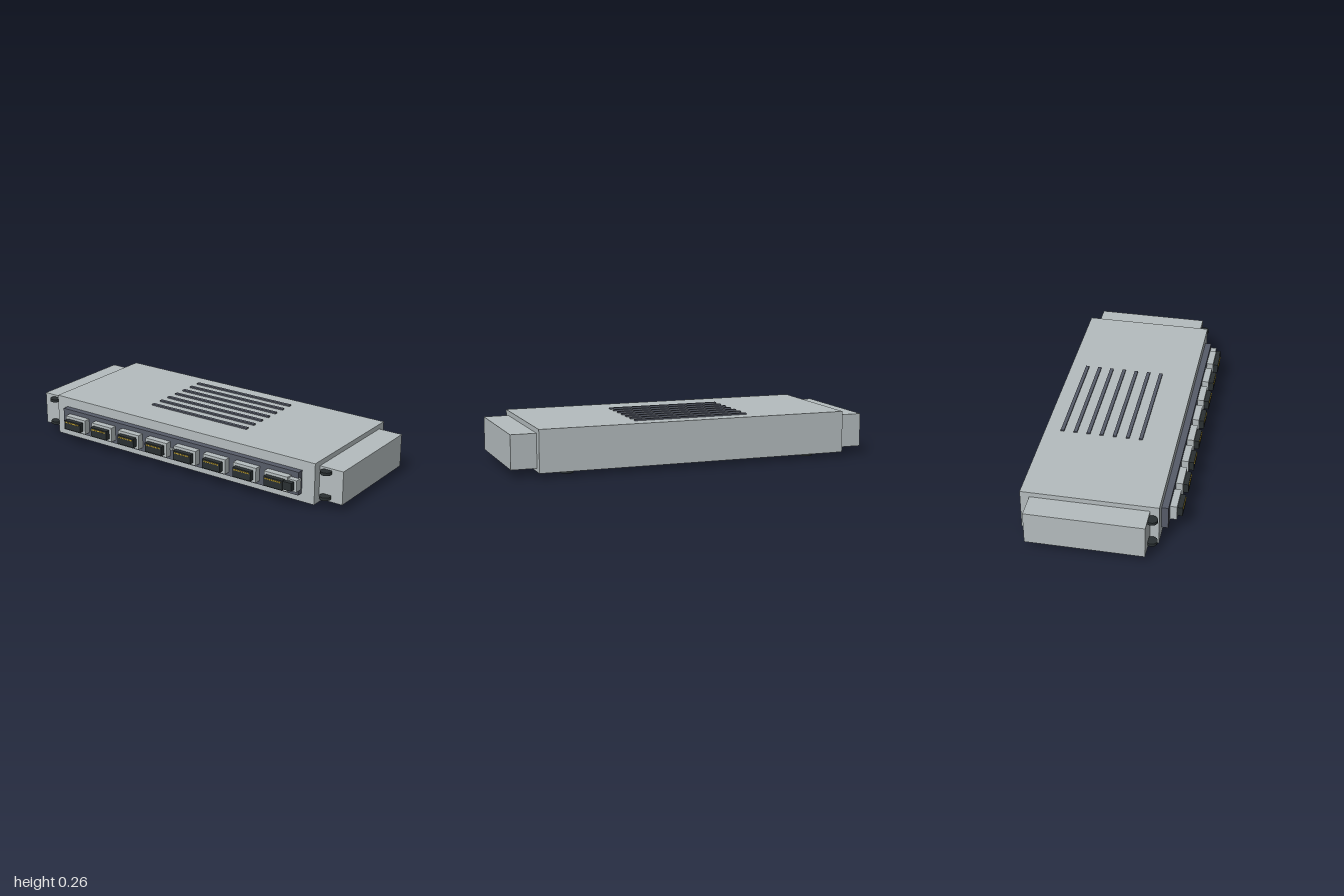
import * as THREE from 'three';

const material = (name, color) => {
  const m = new THREE.MeshStandardMaterial({ color });
  m.name = name;
  return m;
};

export function createModel() {
  const model = new THREE.Group();
  model.name = 'rackUnit';
  const grey = material('casing grey', 0xb5bdbf);
  const slate = material('slate panel', 0x575c69);
  const black = material('black plastic', 0x2a3032);
  const gold = material('gold contact', 0xcfae38);

  const add = (name, geometry, mat, x, y, z, parent = model) => {
    const mesh = new THREE.Mesh(geometry, mat);
    mesh.name = name;
    mesh.position.set(x, y, z);
    parent.add(mesh);
    return mesh;
  };
  // Box from its limits on each axis
  const box = (name, mat, [x0, x1], [y0, y1], [z0, z1], parent) =>
    add(name, new THREE.BoxGeometry(x1 - x0, y1 - y0, z1 - z0), mat,
      (x0 + x1) / 2, (y0 + y1) / 2, (z0 + z1) / 2, parent);

  // Casing and front panel
  box('casing', grey, [-0.863, 0.863], [0.025, 0.253], [-0.41, 0.308]);
  box('frontPanel', slate, [-0.792, 0.788], [0.071, 0.199], [0.3, 0.343]);

  // Mounting ears, their screws, and the feet
  const screw = new THREE.CylinderGeometry(0.03, 0.03, 0.016, 20);
  const foot = new THREE.CylinderGeometry(0.035, 0.035, 0.026, 20);
  for (const side of [-1, 1]) {
    add('ear', new THREE.BoxGeometry(0.14, 0.183, 0.622), grey, side * 0.93, 0.1345, -0.05);
    for (const y of [0.071, 0.208]) add('earScrew', screw, black, side * 0.91, y, 0.279);
    for (const z of [-0.307, 0.208]) add('foot', foot, black, side * 0.69, 0.013, z);
  }

  // Ventilation ribs on the lid
  for (let i = 0; i < 7; i++) {
    const z = -0.315 + i * 0.0715;
    box('ventRib', slate, [-0.32, 0.32], [0.25, 0.261], [z - 0.0095, z + 0.0095]);
  }

  // Row of ports, each with a collar, a plug block and a row of contacts
  for (let i = 0; i < 8; i++) {
    const port = new THREE.Group();
    port.name = 'port';
    port.position.set(-0.673 + i * 0.1925, 0.134, 0);
    model.add(port);
    box('collar', grey, [-0.0715, 0.0715], [-0.041, 0.041], [0.335, 0.38], port);
    box('plug', black, [-0.056, 0.056], [-0.026, 0.026], [0.375, 0.407], port);
    for (let k = 0; k < 8; k++) {
      const x = -0.042 + k * 0.012;
      box('contact', gold, [x - 0.0045, x + 0.0045], [0.012, 0.019], [0.4, 0.41], port);
    }
  }

  // Smaller extra port at the end of the row
  box('extraCollar', grey, [0.715, 0.797], [0.102, 0.166], [0.33, 0.375]);
  box('extraPlug', black, [0.729, 0.782], [0.113, 0.157], [0.37, 0.402]);

  // Pair of indicators in the middle of the panel
  for (const x of [-0.014, 0.006])
    box('indicator', grey, [x - 0.008, x + 0.008], [0.129, 0.141], [0.34, 0.35]);

  return model;
}
